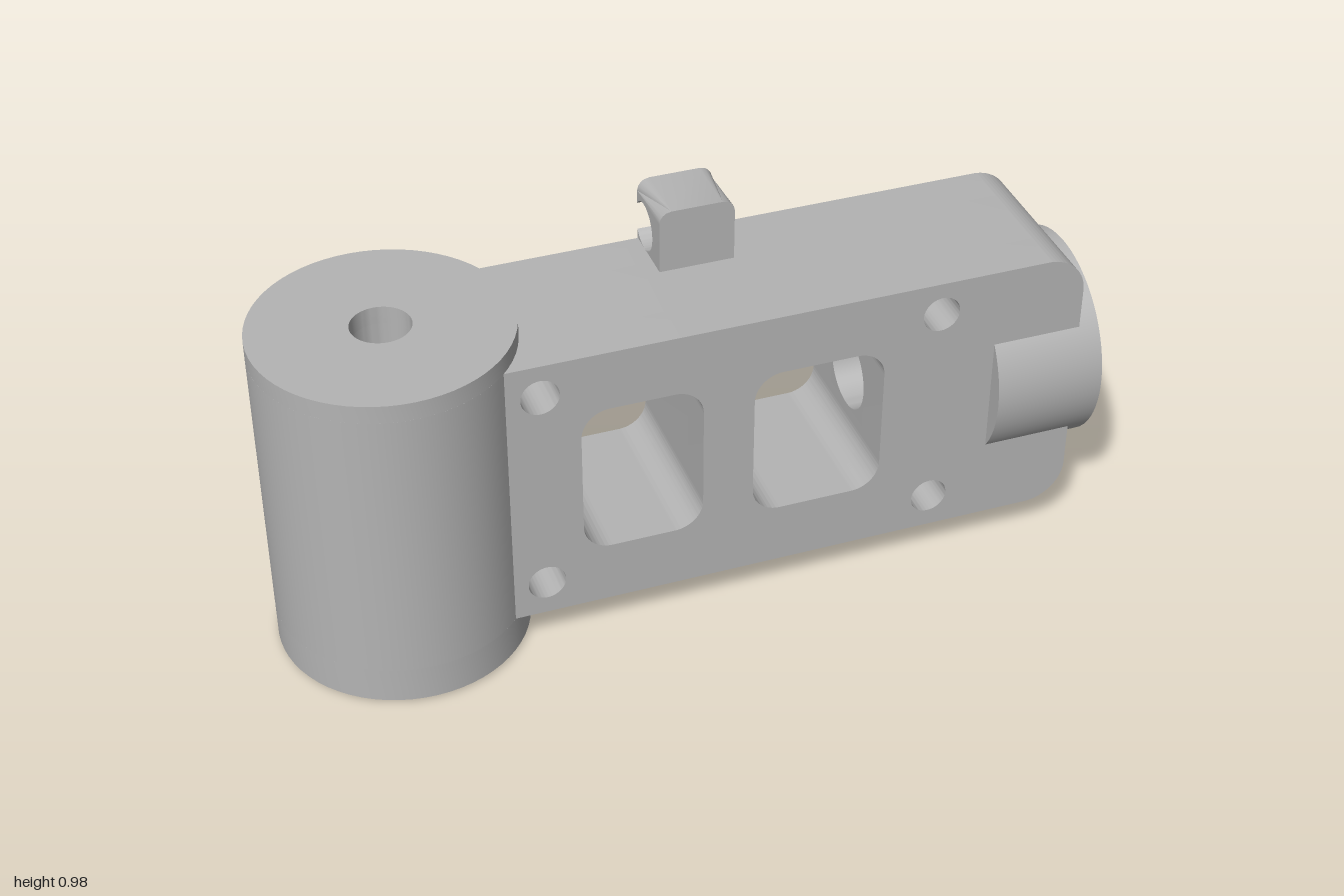
import * as THREE from 'three';
import { toCreasedNormals } from 'three/addons/utils/BufferGeometryUtils.js';

const PI = Math.PI;
const CY = 0.46; // height of the horizontal axis

function circle(Type, x, y, r) {
  const p = new Type();
  p.absarc(x, y, r, 0, PI * 2, false);
  return p;
}
const hole = (x, y, r) => circle(THREE.Path, x, y, r);

function extrude(shape, depth) {
  return new THREE.ExtrudeGeometry(shape, { depth, bevelEnabled: false, curveSegments: 32 });
}
// Extrusions running up y or along x
const alongY = (shape, y0, y1) => extrude(shape, y1 - y0).rotateX(-PI / 2).translate(0, y0, 0);
const alongX = (shape, x0, x1) => extrude(shape, x1 - x0).rotateY(PI / 2).translate(x0, 0, 0);

// Rounded window; channelEnd cuts a slot sideways towards the pivot
function windowPath(x0, x1, channelEnd) {
  const y0 = 0.26, y1 = 0.66, r = 0.07, h = 0.101;
  const p = new THREE.Path();
  p.moveTo(x0 + r, y0);
  p.lineTo(x1 - r, y0);
  p.absarc(x1 - r, y0 + r, r, -PI / 2, 0, false);
  if (channelEnd) {
    p.lineTo(x1, CY - h);
    p.lineTo(channelEnd, CY - h);
    p.lineTo(channelEnd, CY + h);
    p.lineTo(x1, CY + h);
  }
  p.lineTo(x1, y1 - r);
  p.absarc(x1 - r, y1 - r, r, 0, PI / 2, false);
  p.lineTo(x0 + r, y1);
  p.absarc(x0 + r, y1 - r, r, PI / 2, PI, false);
  p.lineTo(x0, y0 + r);
  p.absarc(x0 + r, y0 + r, r, PI, PI * 1.5, false);
  return p;
}

// Arm outline with windows and screw holes
function armShape(channelEnd) {
  const x0 = -0.474, x1 = 0.95, y0 = 0.1, y1 = 0.815, r = 0.1;
  const s = new THREE.Shape();
  s.moveTo(x0, y0);
  s.lineTo(x1 - r, y0);
  s.absarc(x1 - r, y0 + r, r, -PI / 2, 0, false);
  s.lineTo(x1, y1 - r);
  s.absarc(x1 - r, y1 - r, r, 0, PI / 2, false);
  s.lineTo(x0, y1);
  s.holes.push(windowPath(-0.3, -0.005), windowPath(0.12, 0.445, channelEnd));
  for (const x of [-0.393, 0.583]) for (const y of [0.19, 0.73]) s.holes.push(hole(x, y, 0.046));
  return s;
}

export function createModel() {
  const model = new THREE.Group();
  const grey = new THREE.MeshStandardMaterial({ color: 0xb4b4b4 });
  grey.name = 'grey';

  function add(name, geometry, parent = model) {
    const mesh = new THREE.Mesh(toCreasedNormals(geometry, 0.5), grey);
    mesh.name = name;
    parent.add(mesh);
    return mesh;
  }
  function group(name) {
    const g = new THREE.Group();
    g.name = name;
    model.add(g);
    return g;
  }

  // Arm: three layers, the middle one leaving room for the pivot bore
  const arm = group('arm');
  add('armFrontLayer', extrude(armShape(), 0.109).translate(0, 0, 0.101), arm);
  add('armMiddleLayer', extrude(armShape(0.94), 0.202).translate(0, 0, -0.101), arm);
  add('armBackLayer', extrude(armShape(), 0.109).translate(0, 0, -0.21), arm);

  // Sleeve lining the bore between window and pivot
  const h = 0.101;
  const sleeve = new THREE.Shape([
    new THREE.Vector2(-h, CY - h), new THREE.Vector2(h, CY - h),
    new THREE.Vector2(h, CY + h), new THREE.Vector2(-h, CY + h)]);
  sleeve.holes.push(hole(0, CY, 0.099));
  add('boreSleeve', alongX(sleeve, 0.445, 0.73), arm);

  // Horizontal pivot drum
  const drum = circle(THREE.Shape, 0, CY, 0.258);
  drum.holes.push(hole(0, CY, 0.071));
  add('horizontalPivot', alongX(drum, 0.727, 1));

  // Vertical pivot: full ends, middle cut flat where it meets the arm
  const pivot = group('verticalPivot');
  pivot.position.x = -0.695;
  const R = 0.305, bore = 0.071, cut = Math.acos(0.221 / R);
  const disc = (r, pins) => {
    const s = circle(THREE.Shape, 0, 0, r);
    s.holes.push(hole(0, 0, bore));
    if (pins) s.holes.push(hole(-0.18, 0, 0.034), hole(0.18, 0, 0.034));
    return s;
  };
  const flatSided = new THREE.Shape();
  flatSided.absarc(0, 0, R, cut, PI * 2 - cut, false);
  flatSided.holes.push(hole(0, 0, bore));
  add('pivotFootPlate', alongY(disc(0.268, true), 0, 0.008), pivot);
  add('pivotBottom', alongY(disc(R, true), 0.008, 0.1), pivot);
  add('pivotMiddle', alongY(flatSided, 0.1, 0.815), pivot);
  add('pivotTop', alongY(disc(R), 0.815, 0.86), pivot);

  // Cable clip: hooked profile with rounded side corners
  const r = 0.03, top = 0.975, low = 0.775;
  const steps = [0, 0.4, 0.7, 0.9, 1].map((t) => t * r);
  const clip = new THREE.Shape();
  clip.moveTo(0.055, 0.8);
  for (const d of steps) clip.lineTo(0.055, top - r + d);
  for (const d of [...steps].reverse()) clip.lineTo(0.213, top - r + d);
  clip.lineTo(0.213, 0.911);
  clip.absarc(0.165, 0.875, 0.06, 0.6435, -0.6435, false);
  for (const d of steps) clip.lineTo(0.213, low + r - d);
  clip.lineTo(0.203, low);
  clip.lineTo(0.203, 0.8);
  const clipGeo = alongX(clip, -0.02, 0.165);
  const pos = clipGeo.attributes.position;
  for (let i = 0; i < pos.count; i++) {
    const y = pos.getY(i), x = pos.getX(i);
    const d = Math.min(r, Math.max(0, y - (top - r), low + r - y));
    const inset = r - Math.sqrt(r * r - d * d);
    pos.setX(i, x + (x < 0.07 ? inset : -inset));
  }
  add('cableClip', clipGeo);

  return model;
}
